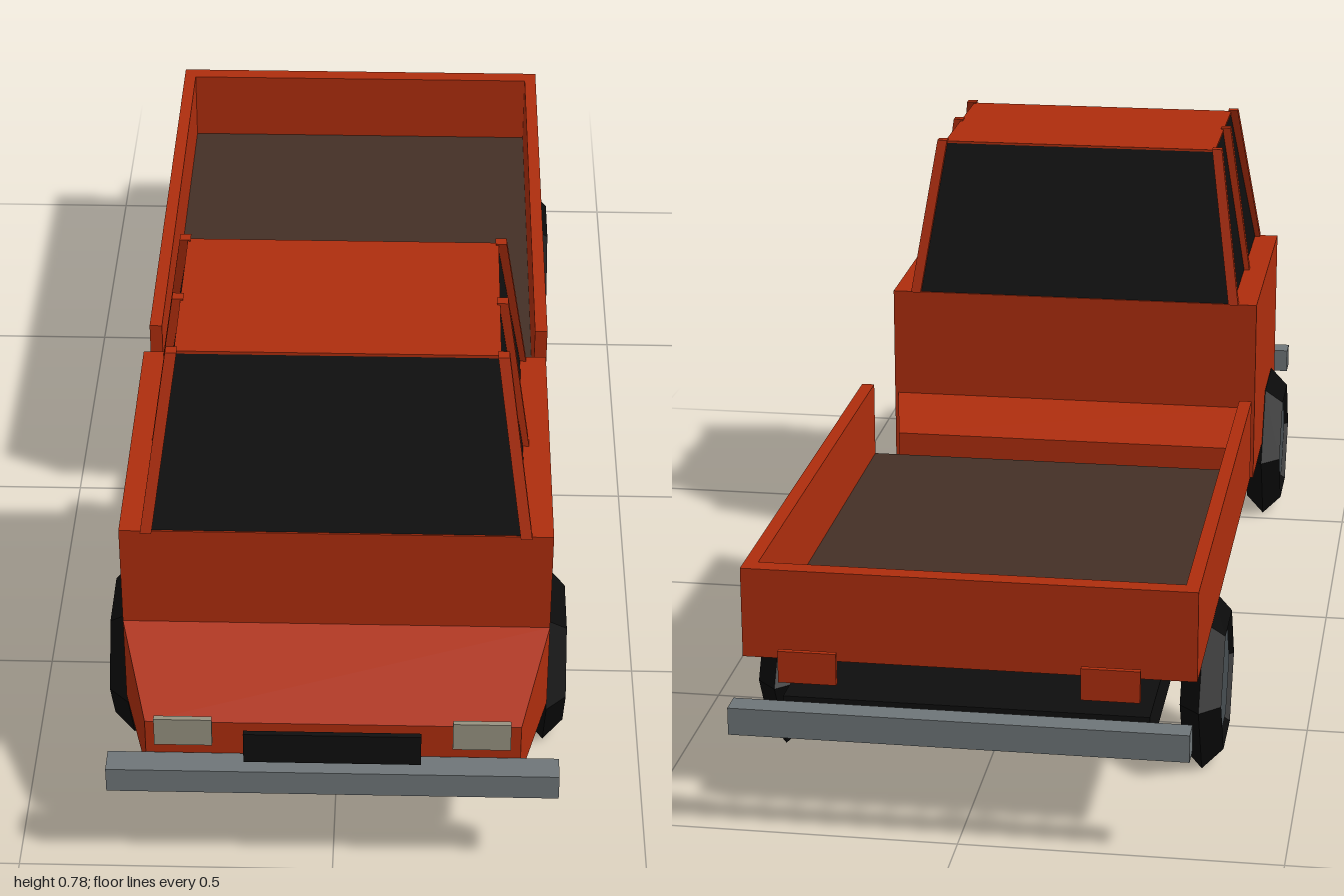
import * as THREE from 'three';

const mat = (name, color) => {
  const m = new THREE.MeshStandardMaterial({ color });
  m.name = name;
  return m;
};

export function createModel() {
  const truck = new THREE.Group();
  truck.name = 'pickupTruck';

  const paint = mat('orange paint', 0xad2d0d);
  const black = mat('black', 0x0e0e0e);
  const rubber = mat('tyre rubber', 0x0a0a0a);
  const steel = mat('bumper grey', 0x6e7578);
  const hubGrey = mat('hub grey', 0x464d51);
  const wood = mat('bed brown', 0x443026);
  const lamp = mat('headlight', 0x969280);

  const add = (name, geometry, material, parent = truck) => {
    const mesh = new THREE.Mesh(geometry, material);
    mesh.name = name;
    parent.add(mesh);
    return mesh;
  };

  // Box given by its limits on each axis
  const box = (name, material, [x0, x1], [y0, y1], [z0, z1]) => {
    const g = new THREE.BoxGeometry(x1 - x0, y1 - y0, z1 - z0);
    g.translate((x0 + x1) / 2, (y0 + y1) / 2, (z0 + z1) / 2);
    return add(name, g, material);
  };

  // Unit box whose corners (each axis -1 or 1) are moved by a rule
  const warpedBox = (name, material, rule) => {
    const g = new THREE.BoxGeometry(2, 2, 2);
    const p = g.attributes.position;
    for (let i = 0; i < p.count; i++) p.setXYZ(i, ...rule(p.getX(i), p.getY(i), p.getZ(i)));
    g.computeVertexNormals();
    return add(name, g, material);
  };

  // Block running along z between two upright rectangles
  const taperZ = (name, back, front) => warpedBox(name, paint, (x, y, z) => {
    const s = z > 0 ? front : back;
    return [x * s.w, y > 0 ? s.top : 0.163, s.z];
  });

  // Chassis and bumpers
  box('chassis', black, [-0.285, 0.285], [0.13, 0.195], [-0.922, 0.925]);
  box('frontBumper', steel, [-0.354, 0.354], [0.16, 0.204], [0.957, 1]);
  box('rearBumper', steel, [-0.354, 0.354], [0.16, 0.204], [-1, -0.96]);

  // Lower cab, sloping nose and rear skirt
  box('cabBody', paint, [-0.341, 0.341], [0.163, 0.5], [0.277, 0.775]);
  taperZ('nose', { z: 0.775, w: 0.341, top: 0.319 }, { z: 0.955, w: 0.294, top: 0.265 });
  taperZ('rearSkirt', { z: 0.14, w: 0.308, top: 0.266 }, { z: 0.277, w: 0.335, top: 0.3 });

  // Glasshouse narrowing to the roof
  warpedBox('cabGlass', black, (x, y, z) => y > 0
    ? [x * 0.252, 0.77, 0.512 + z * 0.162]
    : [x * 0.297, 0.5, 0.526 + z * 0.246]);
  box('roof', paint, [-0.253, 0.253], [0.769, 0.774], [0.35, 0.675]);

  // Slanted window pillars: [bottom z, top z]
  for (const side of [-1, 1]) {
    for (const [zb, zt] of [[0.773, 0.676], [0.525, 0.525], [0.281, 0.35]]) {
      warpedBox('windowPillar', paint, (x, y, z) => [
        side * (y > 0 ? 0.257 : 0.298) + x * 0.009,
        y > 0 ? 0.777 : 0.5,
        (y > 0 ? zt : zb) + z * 0.009,
      ]);
    }
  }

  // Load bed, open towards the cab
  box('bedFloor', wood, [-0.332, 0.332], [0.24, 0.26], [-0.868, 0.038]);
  box('tailgate', paint, [-0.332, 0.332], [0.246, 0.392], [-0.895, -0.865]);
  for (const [a, b] of [[-0.354, -0.332], [0.332, 0.354]]) {
    box('bedSide', paint, [a, b], [0.246, 0.392], [-0.895, 0.038]);
  }

  // Grille and lights
  box('grille', black, [-0.138, 0.138], [0.222, 0.278], [0.988, 0.997]);
  for (const [a, b] of [[-0.277, -0.187], [0.187, 0.277]]) {
    box('headlight', lamp, [a, b], [0.245, 0.296], [0.977, 0.986]);
    box('tailLight', paint, [a, b], [0.245, 0.296], [-0.985, -0.976]);
  }

  // Six-sided wheels: diamond-section tyre with a hub turned half a side
  const tyre = new THREE.TorusGeometry(0.113, 0.033, 4, 6).toNonIndexed();
  tyre.rotateY(Math.PI / 2);
  tyre.computeVertexNormals();
  const hub = new THREE.CylinderGeometry(0.09, 0.09, 0.054, 6).toNonIndexed();
  hub.rotateZ(Math.PI / 2);
  hub.computeVertexNormals();
  for (const x of [-0.342, 0.342]) {
    for (const z of [0.605, -0.6]) {
      const wheel = new THREE.Group();
      wheel.name = 'wheel';
      wheel.position.set(x, 0.127, z);
      add('tyre', tyre, rubber, wheel);
      add('hub', hub, hubGrey, wheel);
      truck.add(wheel);
    }
  }

  return truck;
}
